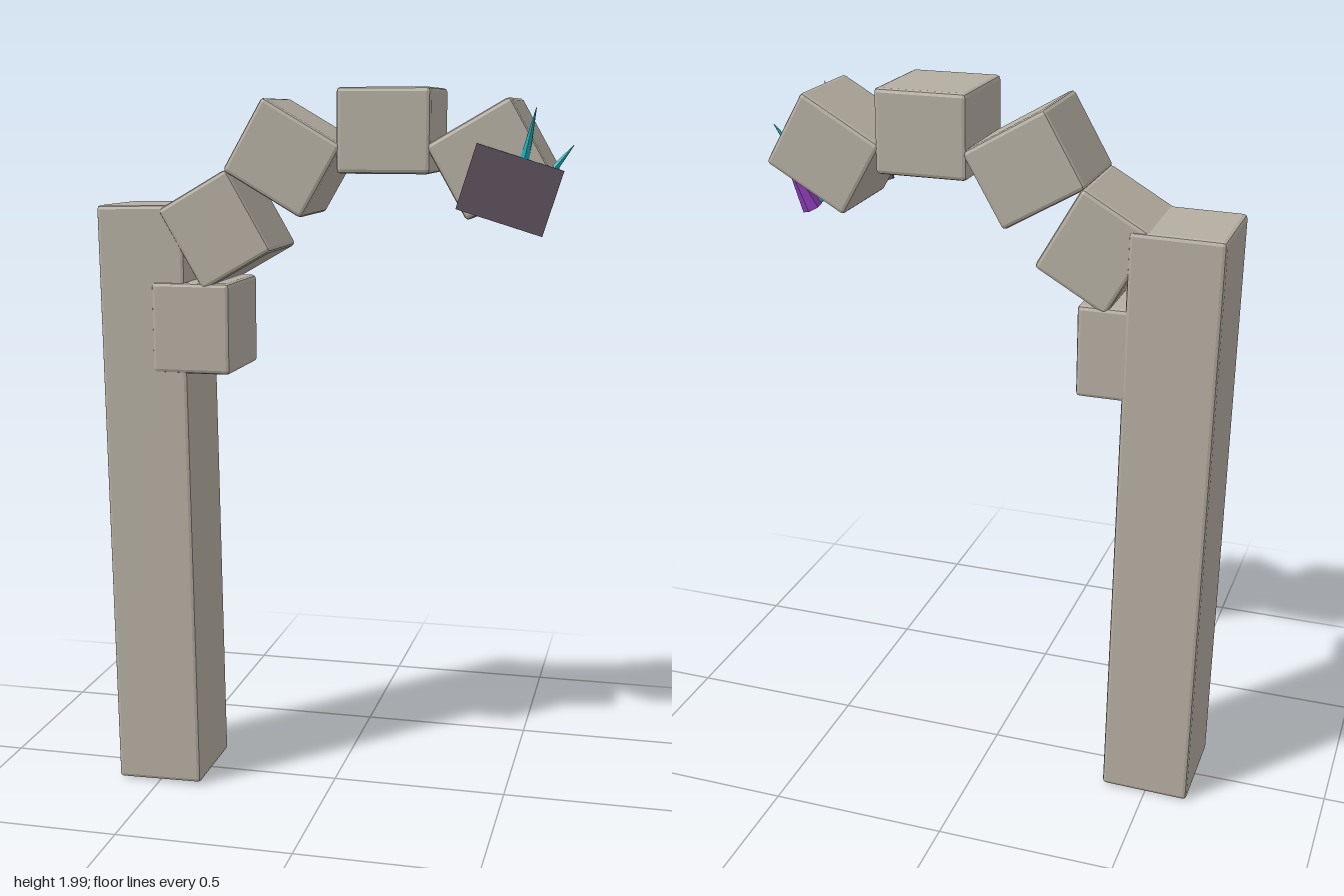
import * as THREE from 'three';
import { RoundedBoxGeometry } from 'three/addons/geometries/RoundedBoxGeometry.js';

export function createModel() {
  const group = new THREE.Group();
  const material = (name, color) => {
    const m = new THREE.MeshStandardMaterial({ color });
    m.name = name;
    return m;
  };
  const stone = material('stone', 0xb5aea2);
  const slate = material('dark slate', 0x5c505c);
  const teal = material('teal crystal', 0x1fb3be);
  const purple = material('purple crystal', 0x8e3fb8);

  const add = (name, geometry, mat, position) => {
    const mesh = new THREE.Mesh(geometry, mat);
    mesh.name = name;
    mesh.position.set(...position);
    group.add(mesh);
    return mesh;
  };

  // Stone block with a single flat chamfer on every edge
  const block = (name, size, position, turn) => {
    const geometry = new RoundedBoxGeometry(...size, 1, 0.011);
    geometry.computeVertexNormals();
    const mesh = add(name, geometry, stone, position);
    mesh.rotation.z = turn;
    return mesh;
  };

  // Leaning post
  const post = block('post', [0.25, 1.675, 0.277], [-0.511, 0.842, -0.008], 0.016);
  post.rotation.x = -0.009;

  // Broken arch: x, y, turn in degrees of each stone, from the post outward
  const stones = [
    [-0.38, 1.345, 0],
    [-0.309, 1.615, 30],
    [-0.118, 1.81, 60],
    [0.158, 1.882, 90],
    [0.435, 1.81, 120],
  ];
  stones.forEach(([x, y, degrees], i) => {
    block('archStone' + (i + 1), [0.224, 0.252, 0.28], [x, y, -0.009],
      THREE.MathUtils.degToRad(degrees));
  });

  // Thin slate leaning on the front of the last stone
  const plate = add('slatePlate', new THREE.BoxGeometry(0.236, 0.176, 0.0095), slate,
    [0.494, 1.732, 0.137]);
  plate.rotation.set(0, 0.075, -0.3);

  // Faceted crystal running between two points
  const crystal = (name, mat, from, to, r0, r1) => {
    const a = new THREE.Vector3(...from);
    const b = new THREE.Vector3(...to);
    const geometry = new THREE.CylinderGeometry(r1, r0, a.distanceTo(b), 6).toNonIndexed();
    geometry.computeVertexNormals();
    const mid = a.clone().add(b).multiplyScalar(0.5);
    const mesh = add(name, geometry, mat, mid.toArray());
    mesh.quaternion.setFromUnitVectors(new THREE.Vector3(0, 1, 0), b.sub(a).normalize());
  };
  crystal('largeCrystal', teal, [0.49, 1.655, 0], [0.645, 1.845, 0], 0.031, 0.001);
  crystal('frontCrystal', teal, [0.525, 1.79, 0.118], [0.56, 1.94, 0.156], 0.016, 0.001);
  crystal('shortCrystal', teal, [0.495, 1.675, 0.076], [0.53, 1.745, 0.102], 0.022, 0.012);
  crystal('purpleCrystal', purple, [0.495, 1.648, -0.093], [0.535, 1.745, -0.112], 0.028, 0.012);

  return group;
}
